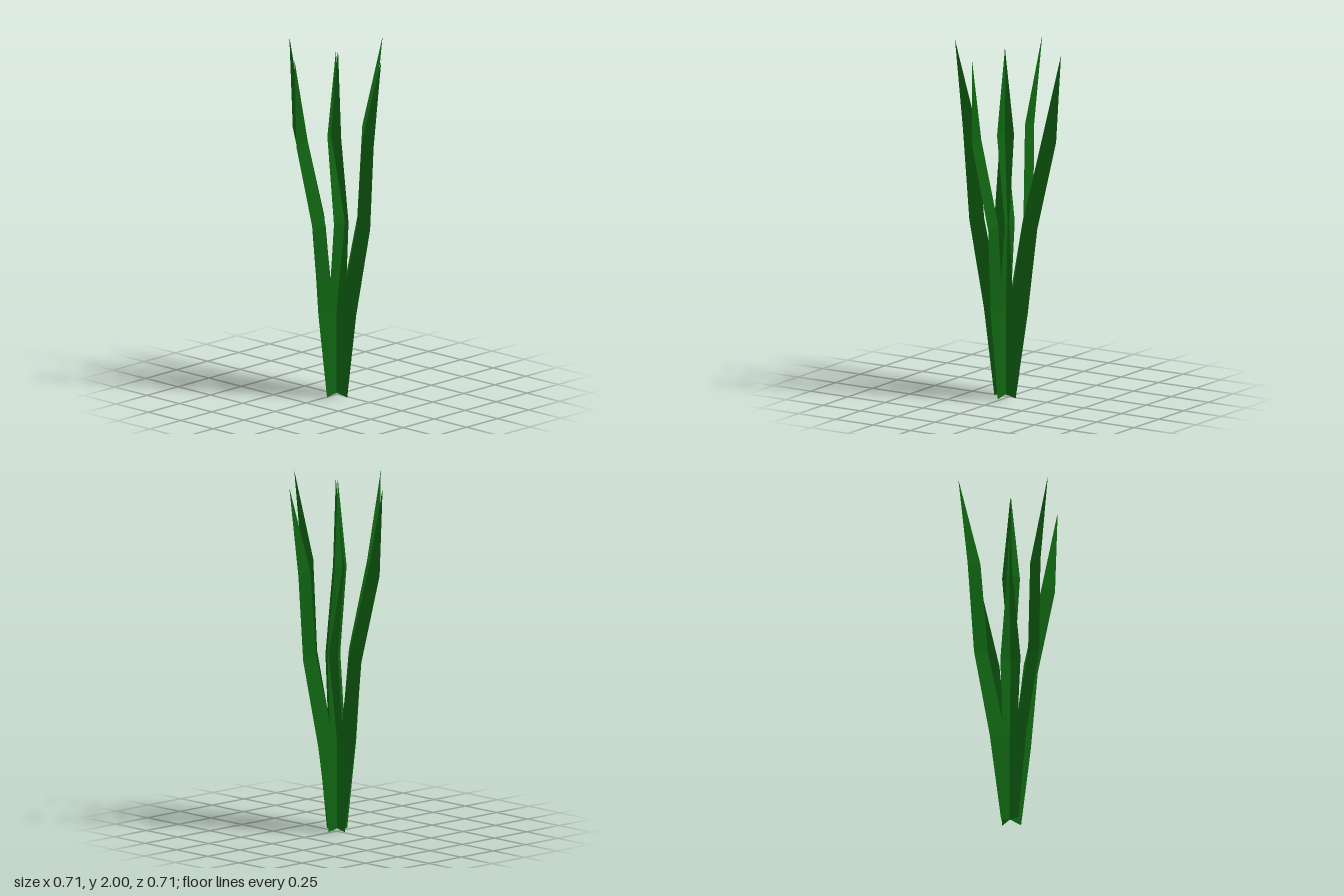
import * as THREE from 'three';

// Height, half width and sideways ripple of a blade, from root to tip
const SECTIONS = [
  { y: 0.01, half: 0.07, ripple: 0.012 },
  { y: 0.5, half: 0.058, ripple: 0.012 },
  { y: 1.0, half: 0.05, ripple: 0.045 },
  { y: 1.5, half: 0.046, ripple: -0.01 },
  { y: 2.0, half: 0, ripple: 0.013 },
];
const ROOT_X = -0.022;

// Flat folded ribbon leaning along x by `lean` per unit of height
function bladeGeometry(lean) {
  const positions = [];
  const index = [];
  SECTIONS.forEach(({ y, half, ripple }, i) => {
    const centre = ROOT_X + lean * y;
    for (const side of [-1, 1]) {
      positions.push(centre + side * half, y - side * half * lean, ripple);
    }
    if (i === 0) return;
    const a = 2 * (i - 1);
    index.push(a, a + 1, a + 2);
    if (half > 0) index.push(a + 1, a + 3, a + 2);
  });
  const geometry = new THREE.BufferGeometry();
  geometry.setAttribute('position', new THREE.Float32BufferAttribute(positions, 3));
  geometry.setIndex(index);
  const flat = geometry.toNonIndexed();
  flat.computeVertexNormals();
  return flat;
}

export function createModel() {
  const model = new THREE.Group();
  model.name = 'grassTuft';
  const grassGreen = new THREE.MeshStandardMaterial({
    name: 'grassGreen', color: 0x106412, side: THREE.DoubleSide, flatShading: true,
  });

  // A fan of three blades: one leaning each way and one upright
  const makeFan = (name) => {
    const fan = new THREE.Group();
    fan.name = name;
    [['leaningBladeA', -0.167], ['uprightBlade', 0], ['leaningBladeB', 0.188]].forEach(([part, lean]) => {
      const blade = new THREE.Mesh(bladeGeometry(lean), grassGreen);
      blade.name = part;
      fan.add(blade);
    });
    model.add(fan);
    return fan;
  };

  makeFan('sidewaysFan');
  // The second fan crosses the first at a right angle
  const crossFan = makeFan('frontToBackFan');
  crossFan.rotation.y = Math.PI / 2;
  crossFan.position.x = -0.028;
  return model;
}
